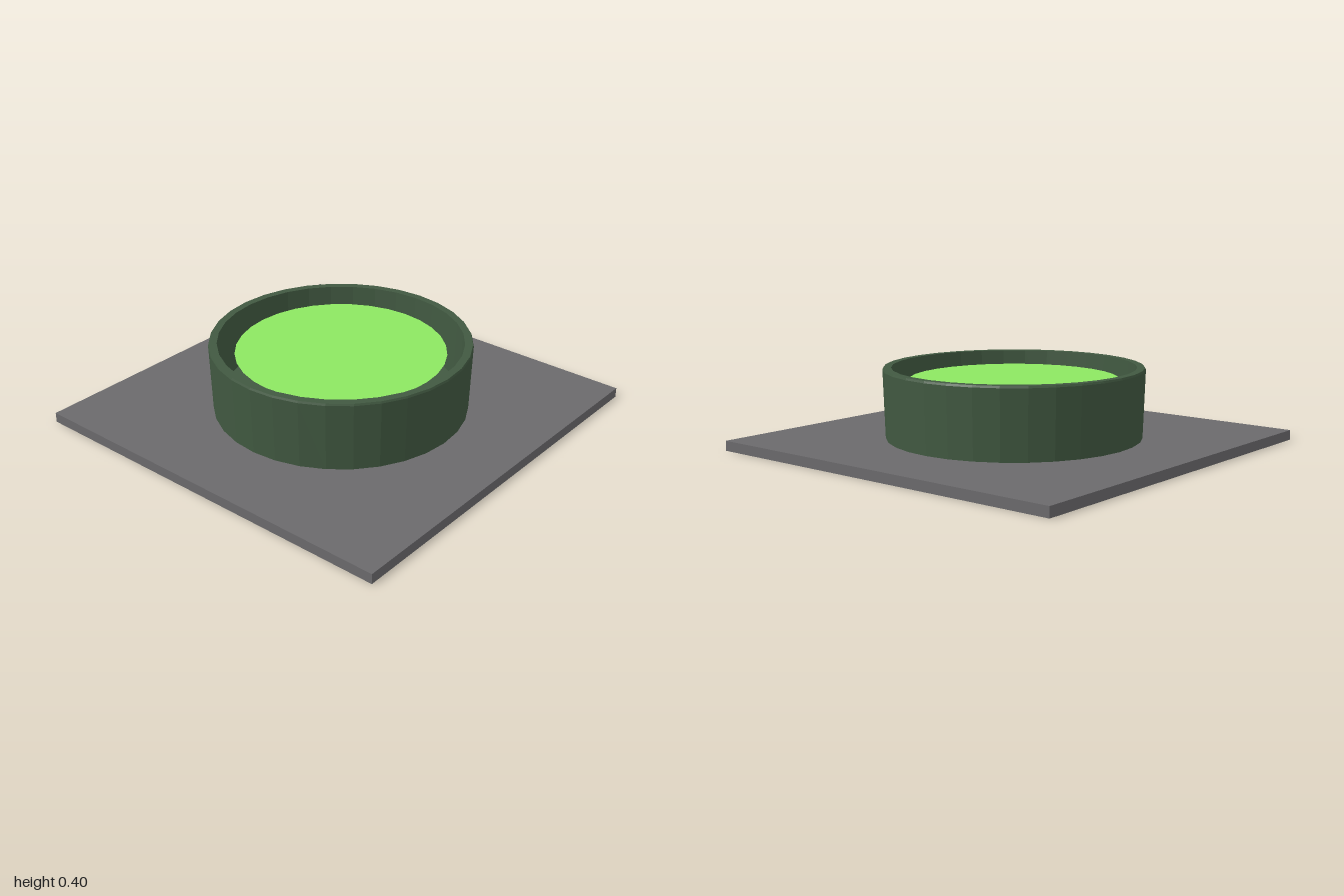
import * as THREE from 'three';

const SEGMENTS = 32;

const material = (name, color, flatShading = false) => {
  const m = new THREE.MeshStandardMaterial({ color, flatShading });
  m.name = name;
  return m;
};

export function createModel() {
  const stone = material('grey stone', 0x6b6a6c);
  const wallGreen = material('dark green', 0x415941, true);
  const liquidGreen = material('bright green', 0x8eea63);

  const model = new THREE.Group();
  model.name = 'vat';
  const add = (name, geometry, mat, y = 0) => {
    const mesh = new THREE.Mesh(geometry, mat);
    mesh.name = name;
    mesh.position.y = y;
    model.add(mesh);
  };

  // Square ground slab
  add('baseSlab', new THREE.BoxGeometry(2, 0.05, 2), stone, 0.025);

  // Slightly flared wall, rim, steep inner wall and sunken floor
  const profile = [
    [0.637, 0.05], [0.648, 0.39], [0.644, 0.4], [0.606, 0.4],
    [0.597, 0.1], [0, 0.1],
  ].map(([r, y]) => new THREE.Vector2(r, y));
  add('basin', new THREE.LatheGeometry(profile, SEGMENTS), wallGreen);

  // Flat liquid surface, held just clear of the wall
  const surface = new THREE.CircleGeometry(0.522, SEGMENTS).rotateX(-Math.PI / 2);
  add('liquid', surface, liquidGreen, 0.338);

  return model;
}
